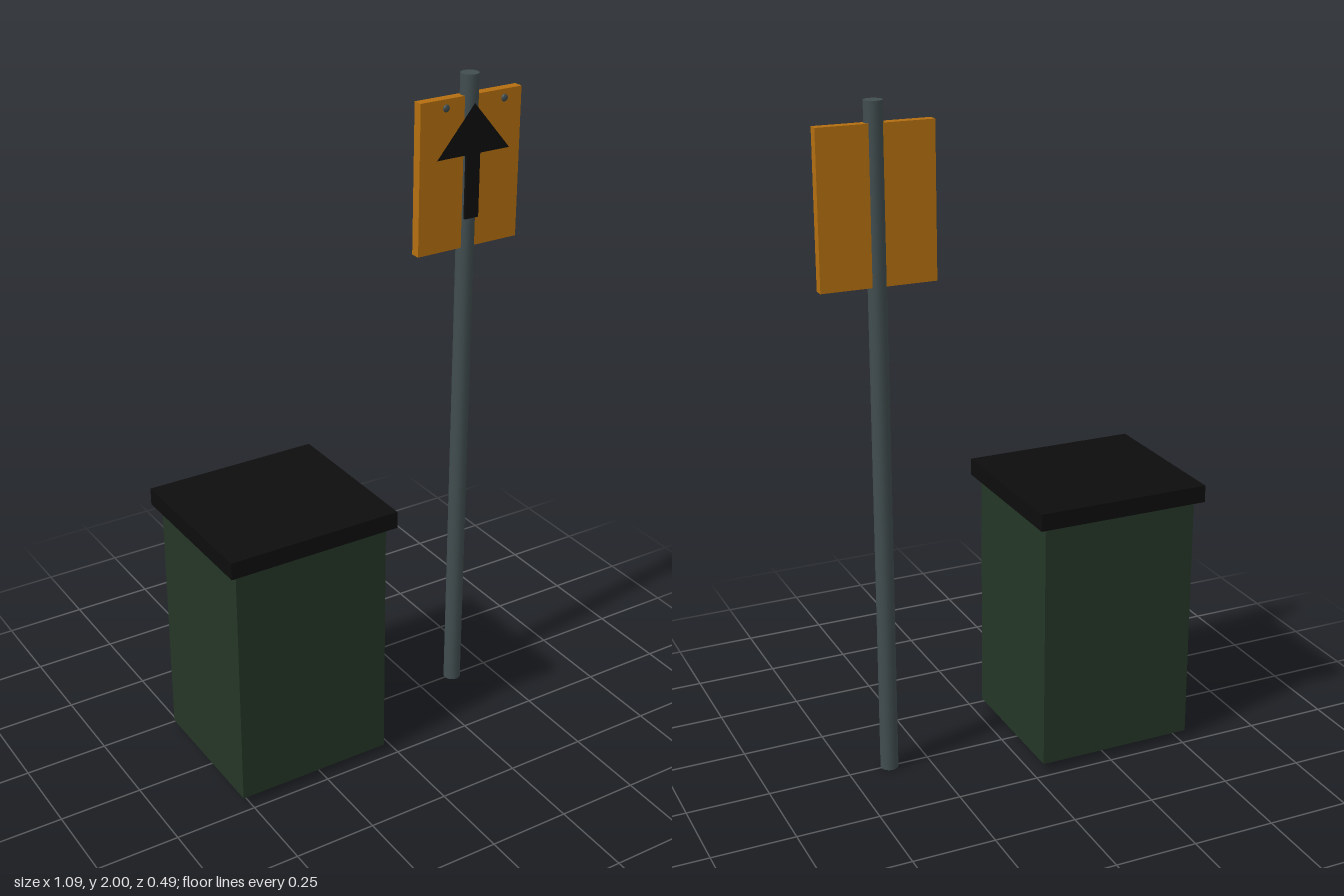
import * as THREE from 'three';

const material = (name, color, extra = {}) => {
  const m = new THREE.MeshStandardMaterial({ color, ...extra });
  m.name = name;
  return m;
};

export function createModel() {
  const model = new THREE.Group();
  model.name = 'binAndSignpost';

  const green = material('dark green', 0x243626);
  const black = material('black', 0x0d0d0d, { side: THREE.DoubleSide });
  const steel = material('steel grey', 0x414d4f);
  const orange = material('orange', 0xb46f10);

  const add = (parent, name, geometry, mat, x, y, z) => {
    const mesh = new THREE.Mesh(geometry, mat);
    mesh.name = name;
    mesh.position.set(x, y, z);
    parent.add(mesh);
    return mesh;
  };

  // Bin: box body with an overhanging lid
  const bin = new THREE.Group();
  bin.name = 'bin';
  model.add(bin);
  add(bin, 'binBody', new THREE.BoxGeometry(0.487, 0.77, 0.449), green, -0.278, 0.41, 0);
  add(bin, 'binLid', new THREE.BoxGeometry(0.535, 0.052, 0.494), black, -0.278, 0.819, 0);

  // Signpost: pole running through a board
  const signpost = new THREE.Group();
  signpost.name = 'signpost';
  signpost.position.x = 0.373;
  model.add(signpost);
  add(signpost, 'pole', new THREE.CylinderGeometry(0.027, 0.027, 2, 16), steel, 0, 1, 0);
  add(signpost, 'signBoard', new THREE.BoxGeometry(0.34, 0.446, 0.03), orange, 0, 1.717, -0.002);

  // Arrow: thin shaft and flat triangular head
  add(signpost, 'arrowShaft', new THREE.BoxGeometry(0.045, 0.264, 0.009), black, 0, 1.717, 0.0255);
  const head = new THREE.Shape([
    new THREE.Vector2(-0.123, 0),
    new THREE.Vector2(0.123, 0),
    new THREE.Vector2(0, 0.146),
  ]);
  add(signpost, 'arrowHead', new THREE.ShapeGeometry(head), black, 0, 1.774, 0.029);

  // Flattened bolts in the upper corners
  for (const side of [-1, 1]) {
    const bolt = add(signpost, 'bolt', new THREE.SphereGeometry(0.011, 12, 8), steel, side * 0.098, 1.921, 0.032);
    bolt.scale.z = 0.45;
  }

  return model;
}
